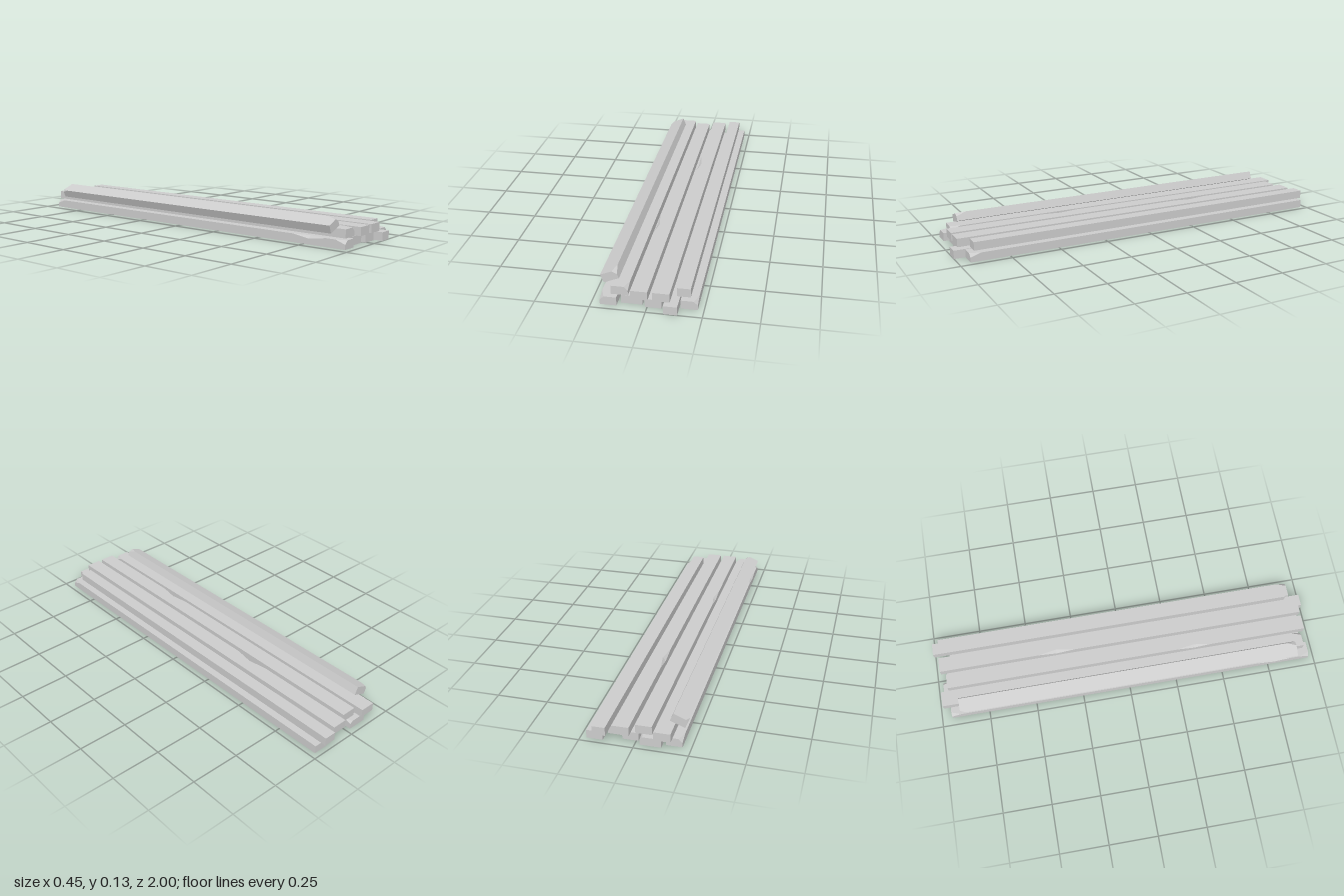
import * as THREE from 'three';

const wood = new THREE.MeshStandardMaterial({ color: 0xcccccc });
wood.name = 'plainGrey';

// Lofts a plank along z. Each cut is [side, z, size]: a bevel of the upper edge that
// peaks at z and fades out over `reach` either way (a corner chip when z is at an end).
function plankGeometry(w, h, z0, z1, cuts = []) {
  const stops = new Set([z0, z1]);
  const reach = (c) => c[3] ?? 0.05;
  for (const c of cuts) {
    for (const z of [c[1] - reach(c), c[1], c[1] + reach(c)]) {
      if (z > z0 && z < z1) stops.add(z);
    }
  }
  const zs = [...stops].sort((a, b) => a - b);
  const bevel = (side, z) => cuts.reduce((m, c) => c[0] === side
    ? Math.max(m, c[2] * (1 - Math.abs(z - c[1]) / reach(c))) : m, 0);

  const pos = [];
  const index = [];
  for (const z of zs) {
    const l = bevel('left', z), r = bevel('right', z);
    const x = w / 2, y = h / 2;
    pos.push(-x, -y, z, x, -y, z, x, y - r, z, x - r, y, z, -x + l, y, z, -x, y - l, z);
  }
  // Long faces
  for (let k = 0; k < zs.length - 1; k++) {
    for (let i = 0; i < 6; i++) {
      const a = k * 6 + i, b = k * 6 + (i + 1) % 6;
      index.push(a, b, b + 6, a, b + 6, a + 6);
    }
  }
  // End grain
  const last = (zs.length - 1) * 6;
  for (let i = 1; i < 5; i++) {
    index.push(0, i + 1, i, last, last + i, last + i + 1);
  }
  const indexed = new THREE.BufferGeometry();
  indexed.setAttribute('position', new THREE.Float32BufferAttribute(pos, 3));
  indexed.setIndex(index);
  const geometry = indexed.toNonIndexed();
  geometry.computeVertexNormals();
  return geometry;
}

// Each row: x from, x to, z back, z front, chips and notches
const lowerRow = [
  [-0.21, -0.135, -0.945, 0.97,
    [['left', 0.97, 0.018], ['left', 0.78, 0.014, 0.09], ['left', -0.945, 0.018]]],
  [-0.12, -0.023, -0.97, 0.945, [['right', -0.97, 0.012]]],
  [-0.01, 0.065, -0.945, 0.96, []],
  [0.078, 0.14, -0.92, 1.0, []],
  [0.146, 0.222, -0.975, 0.945, [['right', 0.945, 0.018]]],
];
const upperRow = [
  [-0.165, -0.088, -0.98, 0.945, [['right', 0.945, 0.018]]],
  [-0.072, 0.004, -0.945, 0.97, [['left', 0.37, 0.014, 0.09]]],
  [0.025, 0.102, -0.975, 0.97, [['left', -0.355, 0.016, 0.095]]],
  [0.125, 0.186, -1.0, 0.915, []],
];

export function createModel() {
  const group = new THREE.Group();
  group.name = 'plankStack';

  const addRow = (name, row, y, h) => row.forEach(([x0, x1, z0, z1, cuts], i) => {
    const plank = new THREE.Mesh(plankGeometry(x1 - x0, h, z0, z1, cuts), wood);
    plank.position.set((x0 + x1) / 2, y + h / 2, 0);
    plank.name = `${name}${i + 1}`;
    group.add(plank);
  });
  addRow('lowerPlank', lowerRow, 0, 0.041);
  addRow('upperPlank', upperRow, 0.0415, 0.042);

  // Loose plank leaning on the stack
  const loose = new THREE.Mesh(
    plankGeometry(0.075, 0.042, -0.89, 0.895,
      [['right', 0.895, 0.019], ['left', -0.89, 0.012, 0.03]]), wood);
  loose.position.set(-0.181, 0.098, 0);
  loose.rotation.z = 0.395;
  loose.name = 'loosePlank';
  group.add(loose);

  return group;
}
